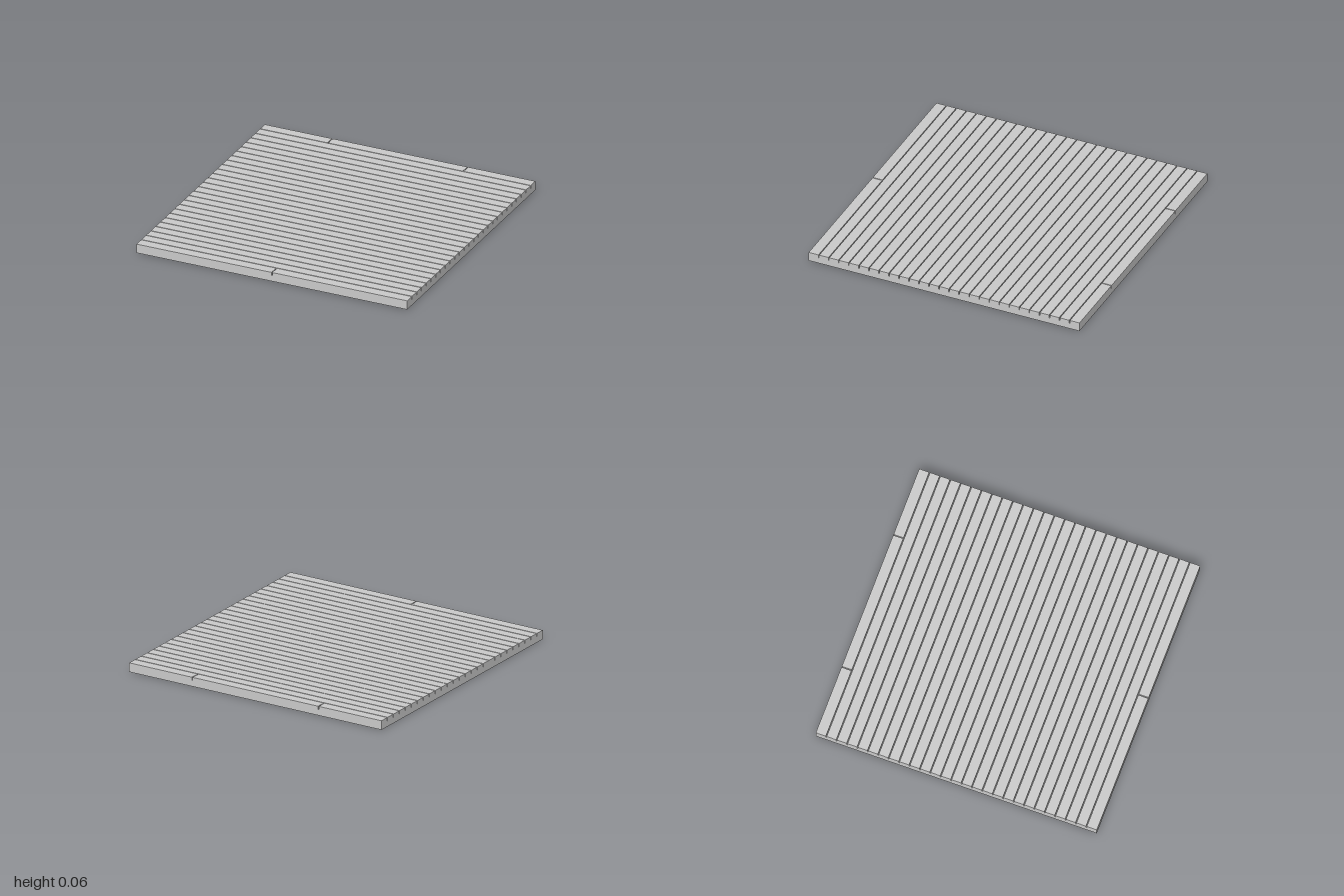
import * as THREE from 'three';

const ROWS = 27, PITCH = 2 / ROWS;
const TOP = 0.065, FLOOR = 0.042, GAP = 0.006;

// Flat slab section from -half to half, with square grooves cut in its top
function groovedSection(half, grooves) {
  const shape = new THREE.Shape();
  shape.moveTo(-half, 0);
  shape.lineTo(half, 0);
  shape.lineTo(half, TOP);
  for (const c of [...grooves].reverse()) {
    shape.lineTo(c + GAP / 2, TOP);
    shape.lineTo(c + GAP / 2, FLOOR);
    shape.lineTo(c - GAP / 2, FLOOR);
    shape.lineTo(c - GAP / 2, TOP);
  }
  shape.lineTo(-half, TOP);
  return shape;
}

export function createModel() {
  const group = new THREE.Group();
  const material = new THREE.MeshStandardMaterial({ color: 0xcccccc, flatShading: true });
  const add = (name, geometry) => {
    const mesh = new THREE.Mesh(geometry, material);
    mesh.name = name;
    group.add(mesh);
  };
  const extrude = (shape, depth) =>
    new THREE.ExtrudeGeometry(shape, { depth, bevelEnabled: false });

  // Long uninterrupted boards; the outermost grooves are open at the section ends
  const half = 1 - PITCH + GAP / 2;
  const grooves = [];
  for (let i = 1; i < ROWS; i++) grooves.push(-1 + i * PITCH);
  const boards = extrude(groovedSection(half, grooves), 2);
  boards.translate(0, 0, -1).rotateY(-Math.PI / 2);
  add('floorBoards', boards);

  // Edge rows, split by butt joints
  const rowDepth = 1 - half;
  add('frontBoardRow', extrude(groovedSection(1, [0]), rowDepth).translate(0, 0, half));
  add('backBoardRow', extrude(groovedSection(1, [-0.5, 0.5]), rowDepth).translate(0, 0, -1));

  return group;
}
